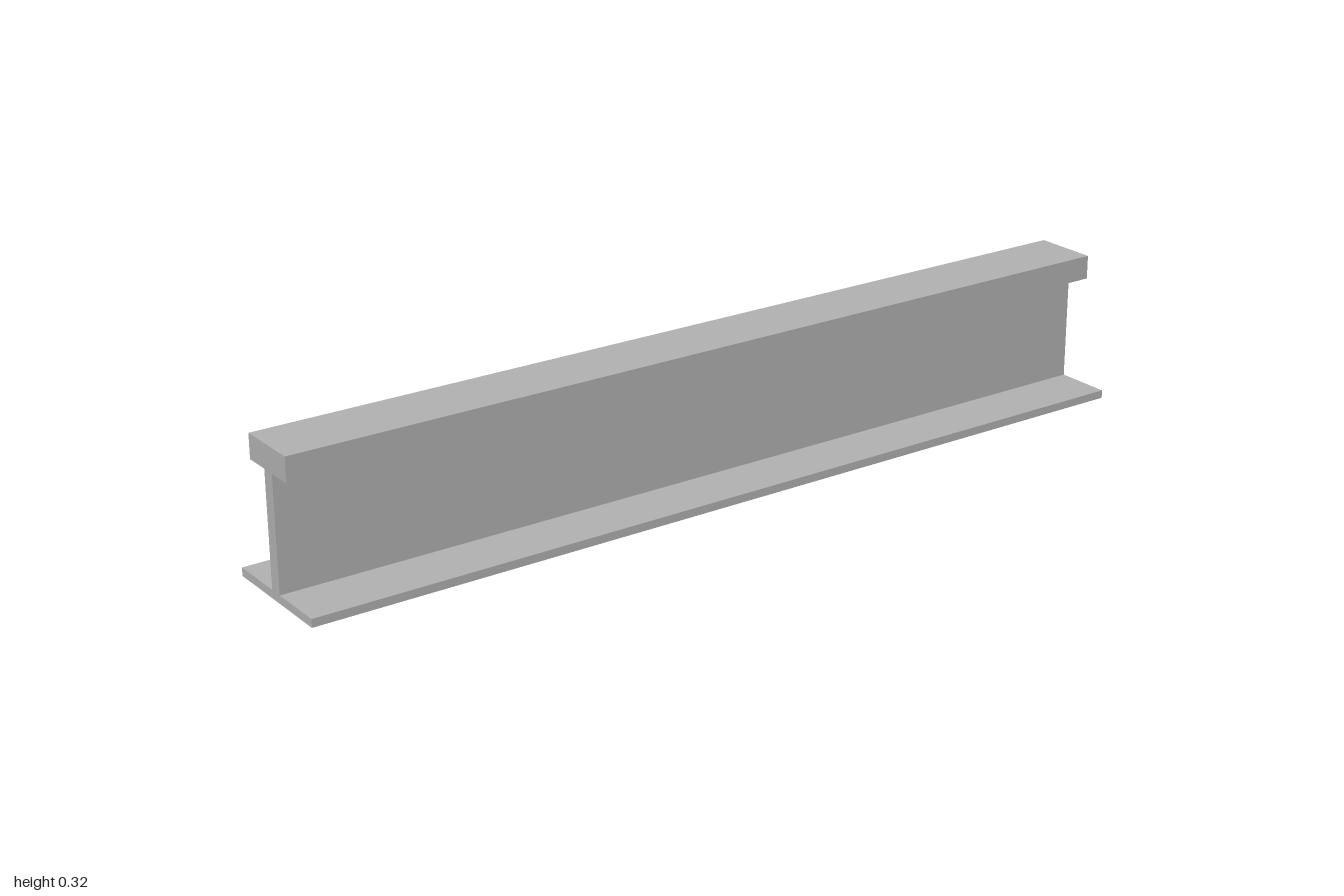
import * as THREE from 'three';

const LENGTH = 2;

// Right half of the cross-section, from the base up to the head
const HALF_PROFILE = [
  [0.14, 0], [0.14, 0.018],       // foot flange
  [0.015, 0.018], [0.015, 0.265], // web
  [0.072, 0.265], [0.072, 0.318], // head
];

export function createModel() {
  const group = new THREE.Group();
  group.name = 'railBeam';

  const steel = new THREE.MeshStandardMaterial({ color: 0xb2b2b2 });
  steel.name = 'steelGrey';

  // Mirror the half profile into a closed section
  const mirrored = HALF_PROFILE.map(([x, y]) => [-x, y]).reverse();
  const section = new THREE.Shape(
    [...HALF_PROFILE, ...mirrored].map(([x, y]) => new THREE.Vector2(x, y))
  );

  // Sweep the section along z, centred on the origin
  const geometry = new THREE.ExtrudeGeometry(section, { depth: LENGTH, bevelEnabled: false });
  geometry.translate(0, 0, -LENGTH / 2);

  const beam = new THREE.Mesh(geometry, steel);
  beam.name = 'beam';
  group.add(beam);
  return group;
}
